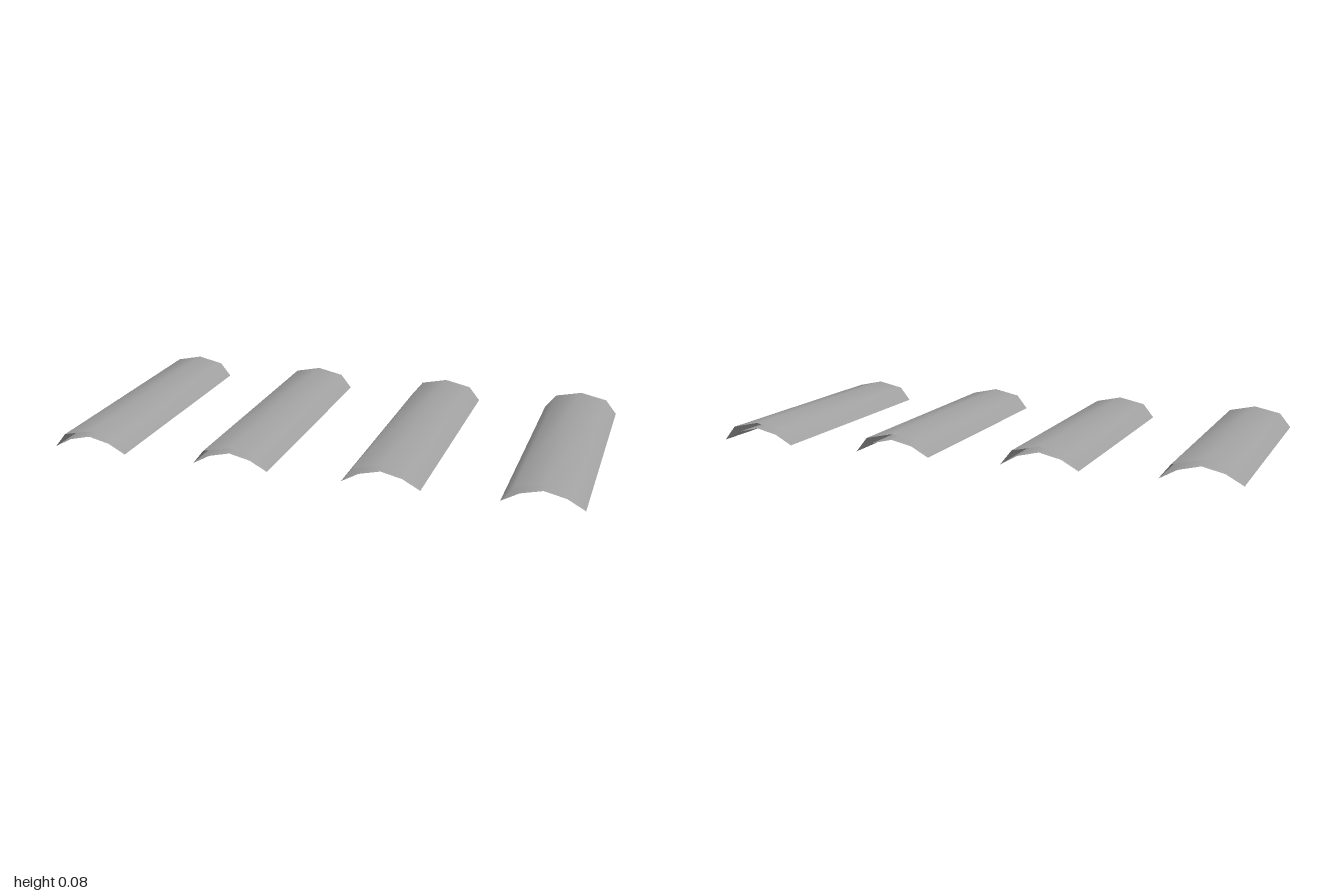
import * as THREE from 'three';

const HALF_LENGTH = 0.509;

// Open sheet: a cross-section (left to right) swept along z, with smooth normals
function sweptSheet(profile, facesUp) {
  const positions = [];
  const index = [];
  for (const [x, y] of profile) {
    positions.push(x, y, HALF_LENGTH, x, y, -HALF_LENGTH);
  }
  for (let i = 0; i < profile.length - 1; i++) {
    const a = i * 2, b = a + 1, c = a + 2, d = a + 3;
    if (facesUp) index.push(a, c, d, a, d, b);
    else index.push(a, d, c, a, b, d);
  }
  const geometry = new THREE.BufferGeometry();
  geometry.setAttribute('position', new THREE.Float32BufferAttribute(positions, 3));
  geometry.setIndex(index);
  geometry.computeVertexNormals();
  return geometry;
}

export function createModel() {
  const model = new THREE.Group();
  model.name = 'curvedPanels';

  const grey = new THREE.MeshStandardMaterial({ color: 0xa0a0a0, side: THREE.DoubleSide });
  grey.name = 'grey';

  // Outer arch, and a shallower underside meeting it along the bottom edges
  const outer = sweptSheet(
    [[-0.145, 0], [-0.102, 0.054], [0, 0.076], [0.102, 0.054], [0.145, 0]], true);
  const inner = sweptSheet(
    [[-0.145, 0], [-0.08, 0.036], [0, 0.055], [0.08, 0.036], [0.145, 0]], false);

  // Four evenly spaced panels with open ends
  for (let i = 0; i < 4; i++) {
    const panel = new THREE.Group();
    panel.name = `panel${i + 1}`;
    const top = new THREE.Mesh(outer, grey);
    top.name = 'panelTop';
    const underside = new THREE.Mesh(inner, grey);
    underside.name = 'panelUnderside';
    panel.add(top, underside);
    panel.position.x = (i - 1.5) * 0.57;
    model.add(panel);
  }
  return model;
}
